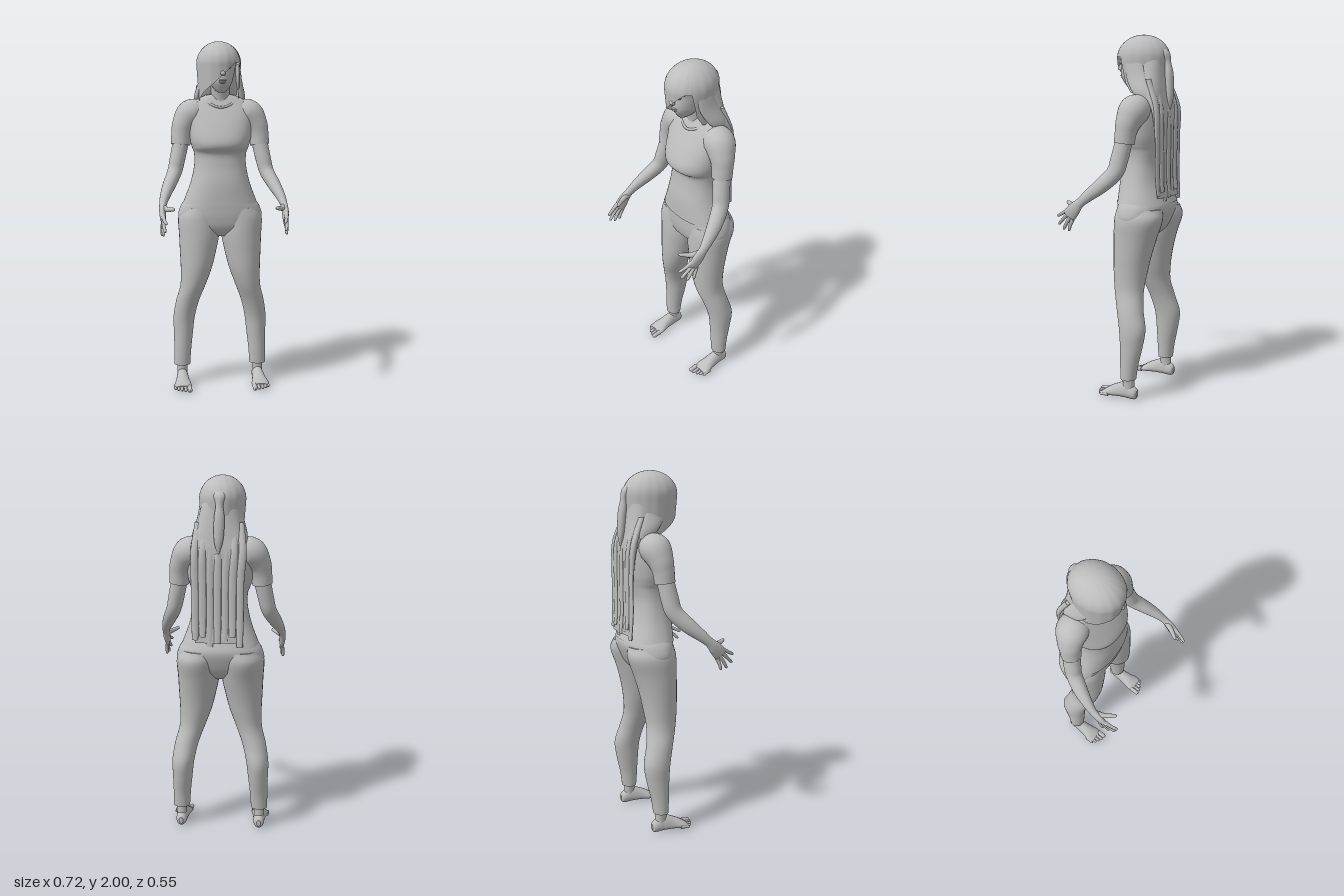
import * as THREE from 'three';

const clay = new THREE.MeshStandardMaterial({ color: 0xbdbdbd, side: THREE.DoubleSide });
clay.name = 'clay grey';
const V = (x, y, z) => new THREE.Vector3(x, y, z);

function addMesh(group, name, geometry) {
  const mesh = new THREE.Mesh(geometry, clay);
  mesh.name = name;
  group.add(mesh);
  return mesh;
}

// Smooth skin over sections [x, y, z, rSide, rFront, rBack]; flat keeps every ring horizontal
function loft(sections, { flat = false, ref = V(1, 0, 0), n = 32, steps = 6, power = 1 } = {}) {
  const path = new THREE.CatmullRomCurve3(sections.map(s => V(s[0], s[1], s[2])), false, 'catmullrom');
  const size = new THREE.CatmullRomCurve3(
    sections.map(s => V(s[3], s[4] ?? s[3], s[5] ?? s[4] ?? s[3])), false, 'catmullrom');
  const pos = [], idx = [], rows = (sections.length - 1) * steps;
  const bend = v => Math.sign(v) * Math.abs(v) ** power;
  for (let i = 0; i <= rows; i++) {
    const c = path.getPoint(i / rows), r = size.getPoint(i / rows);
    const t = flat ? V(0, 1, 0) : path.getTangent(i / rows);
    const side = ref.clone().addScaledVector(t, -ref.dot(t)).normalize();
    const front = side.clone().cross(t);
    for (let j = 0; j < n; j++) {
      const a = j / n * Math.PI * 2, s = Math.sin(a);
      const p = c.clone().addScaledVector(side, bend(Math.cos(a)) * r.x)
        .addScaledVector(front, bend(s) * (s > 0 ? r.y : r.z));
      pos.push(p.x, p.y, p.z);
    }
  }
  for (let i = 0; i < rows; i++) for (let j = 0; j < n; j++) {
    const a = i * n + j, b = i * n + (j + 1) % n;
    idx.push(a, a + n, b, b, a + n, b + n);
  }
  // end caps on their own vertices, so the rims stay crisp
  for (const [row, end] of [[0, false], [rows, true]]) {
    const base = pos.length / 3, c = path.getPoint(end ? 1 : 0);
    for (let j = 0; j < n * 3; j++) pos.push(pos[row * n * 3 + j]);
    pos.push(c.x, c.y, c.z);
    for (let j = 0; j < n; j++) {
      const a = base + j, b = base + (j + 1) % n;
      idx.push(...(end ? [base + n, b, a] : [base + n, a, b]));
    }
  }
  const g = new THREE.BufferGeometry();
  g.setAttribute('position', new THREE.Float32BufferAttribute(pos, 3));
  g.setIndex(idx);
  g.computeVertexNormals();
  return g;
}

const blob = (x, y, z, rx, ry, rz) =>
  new THREE.SphereGeometry(1, 20, 14).scale(rx, ry, rz).translate(x, y, z);
const mirror = (sections, s) => sections.map(([x, ...rest]) => [x * s, ...rest]);

// Swept cap of hair whose lower edge rises over one side of the face
function hairCap() {
  const edge = [[-180, 1.66], [-90, 1.62], [-20, 1.66], [8, 1.69], [22, 1.74], [34, 1.88], [50, 1.88],
    [90, 1.8], [115, 1.755], [140, 1.72], [180, 1.66]];
  const edgeY = d => {
    const k = Math.max(1, edge.findIndex(e => e[0] >= d));
    const [d0, y0] = edge[k - 1], [d1, y1] = edge[k];
    return y0 + (y1 - y0) * (d - d0) / (d1 - d0);
  };
  const n = 96, rows = 28, pos = [], idx = [];
  for (let i = 0; i <= rows; i++) for (let j = 0; j < n; j++) {
    const d = -180 + 360 * j / n, a = d * Math.PI / 180, v = i / rows;
    const low = edgeY(d), y = 2 - (2 - low) * v * v;
    const up = Math.max(0, (y - 1.875) / 0.125), down = Math.max(0, (1.875 - y) / 0.2);
    const r = Math.sqrt(Math.max(0, 1 - up * up)) * (1 - 0.12 * down) * (1 + 0.006 * Math.sin(a * 16));
    pos.push(-0.01 + 0.126 * r * Math.cos(a), y, -0.083 + 0.152 * r * Math.sin(a));
    if (i < rows) {
      const p = i * n + j, q = i * n + (j + 1) % n;
      idx.push(p, q, p + n, q, q + n, p + n);
    }
  }
  const g = new THREE.BufferGeometry();
  g.setAttribute('position', new THREE.Float32BufferAttribute(pos, 3));
  g.setIndex(idx);
  g.computeVertexNormals();
  return g;
}

export function createModel() {
  const model = new THREE.Group();
  model.name = 'standingWoman';

  // Shirt with a fitted bust
  addMesh(model, 'shirt', loft([
    [0, 1.085, -0.11, 0.215, 0.132, 0.152], [0, 1.2, -0.11, 0.172, 0.13, 0.11],
    [0, 1.3, -0.11, 0.15, 0.116, 0.095], [0, 1.37, -0.11, 0.15, 0.116, 0.105],
    [0, 1.405, -0.11, 0.162, 0.152, 0.112], [0, 1.45, -0.11, 0.175, 0.155, 0.122],
    [0, 1.53, -0.11, 0.185, 0.122, 0.13], [0, 1.6, -0.11, 0.19, 0.085, 0.125],
    [0, 1.65, -0.115, 0.172, 0.062, 0.1], [0, 1.685, -0.12, 0.12, 0.052, 0.07],
    [0, 1.705, -0.12, 0.06, 0.045, 0.05]], { flat: true, n: 48, power: 0.88 }));
  const collar = new THREE.CatmullRomCurve3([V(0, 1.632, -0.04), V(0.068, 1.655, -0.065), V(0.09, 1.69, -0.115),
    V(0, 1.698, -0.18), V(-0.09, 1.69, -0.115), V(-0.068, 1.655, -0.065)], true);
  addMesh(model, 'collar', new THREE.TubeGeometry(collar, 48, 0.007, 8, true));

  // Trousers: seat here, one leg per side below
  addMesh(model, 'trouserSeat', loft([
    [0, 0.895, -0.105, 0.06, 0.06, 0.06], [0, 0.94, -0.105, 0.2, 0.1, 0.11],
    [0, 1, -0.11, 0.242, 0.12, 0.135], [0, 1.06, -0.11, 0.232, 0.124, 0.152],
    [0, 1.11, -0.11, 0.2, 0.125, 0.14]], { flat: true, n: 48, power: 0.9 }));

  for (const s of [1, -1]) {
    const side = new THREE.Group();
    side.name = s > 0 ? 'leftLimbs' : 'rightLimbs';
    model.add(side);
    const limb = (name, sections, options) => addMesh(side, name, loft(mirror(sections, s), options));

    limb('trouserLeg', [
      [0.225, 0.115, -0.122, 0.047, 0.042, 0.043], [0.222, 0.2, -0.125, 0.05, 0.05, 0.053],
      [0.217, 0.3, -0.133, 0.056, 0.062, 0.068], [0.212, 0.4, -0.135, 0.063, 0.073, 0.08],
      [0.193, 0.5, -0.115, 0.067, 0.077, 0.076], [0.162, 0.6, -0.092, 0.073, 0.084, 0.083],
      [0.142, 0.7, -0.09, 0.09, 0.097, 0.094], [0.131, 0.8, -0.095, 0.105, 0.106, 0.108],
      [0.123, 0.9, -0.1, 0.117, 0.112, 0.132], [0.122, 1, -0.11, 0.122, 0.118, 0.156],
      [0.108, 1.06, -0.11, 0.112, 0.11, 0.145]], { flat: true });
    limb('ankle', [[0.225, 0.03, -0.125, 0.03, 0.035, 0.035], [0.225, 0.08, -0.124, 0.029, 0.034, 0.032],
      [0.225, 0.16, -0.122, 0.034, 0.034, 0.034]], { flat: true });

    // Foot runs from heel to ball, then five toes
    limb('foot', [[0.225, 0.035, -0.178, 0.012, 0.018, 0.018], [0.225, 0.035, -0.162, 0.028, 0.033, 0.035],
      [0.225, 0.035, -0.11, 0.033, 0.031, 0.06], [0.226, 0.03, -0.05, 0.04, 0.026, 0.044],
      [0.227, 0.022, 0, 0.05, 0.02, 0.026], [0.227, 0.017, 0.03, 0.045, 0.014, 0.012]]);
    for (let k = 0; k < 5; k++) {
      const x = [0.19, 0.214, 0.235, 0.254, 0.271][k], z = [0.078, 0.074, 0.065, 0.053, 0.038][k];
      const r = k ? 0.0095 : 0.0145;
      limb('toe', [[x, 0.018, z - 0.055, r], [x, 0.016, z - 0.025, r * 0.9], [x, 0.013, z - 0.009, r * 0.95],
        [x, 0.012, z, r * 0.25]], { n: 12, steps: 4 });
    }

    // Sleeve, then the bare arm down to the palm
    const ref = V(0, 0, 1);
    limb('sleeve', [[0.1, 1.6, -0.13, 0.07], [0.165, 1.593, -0.125, 0.086, 0.084], [0.207, 1.535, -0.112, 0.07, 0.068],
      [0.222, 1.48, -0.104, 0.059, 0.058], [0.228, 1.42, -0.098, 0.056, 0.055]], { ref });
    limb('arm', [[0.222, 1.46, -0.1, 0.046], [0.247, 1.34, -0.08, 0.049, 0.044], [0.266, 1.265, -0.06, 0.047, 0.041],
      [0.3, 1.195, 0.005, 0.043, 0.036], [0.325, 1.14, 0.07, 0.033, 0.027], [0.337, 1.1, 0.115, 0.027, 0.02],
      [0.34, 1.065, 0.15, 0.037, 0.018], [0.338, 1.03, 0.18, 0.038, 0.015], [0.336, 1.018, 0.19, 0.03, 0.009]], { ref });
    const fingers = [[1.055, 0.195, 1.012, 0.272, 0.324], [1.037, 0.19, 0.97, 0.262, 0.33],
      [1.018, 0.178, 0.946, 0.228, 0.337], [1.005, 0.162, 0.942, 0.19, 0.344]];
    for (const [y0, z0, y1, z1, x1] of fingers)
      limb('finger', [[0.339, y0, z0, 0.0115], [(0.342 + x1) / 2, (y0 + y1) / 2, (z0 + z1) / 2, 0.0095],
        [x1, y1 + 0.006, z1 - 0.007, 0.008], [x1, y1, z1, 0.002]], { ref, n: 12, steps: 4 });
    limb('thumb', [[0.335, 1.088, 0.135, 0.018], [0.315, 1.083, 0.18, 0.014], [0.292, 1.088, 0.215, 0.011],
      [0.281, 1.09, 0.23, 0.009], [0.276, 1.09, 0.235, 0.002]], { ref, n: 12, steps: 4 });

    // Eye and brow
    addMesh(side, 'eye', blob(s * 0.032, 1.852, 0.036, 0.015, 0.008, 0.012));
    limb('brow', [[0.012, 1.872, 0.046, 0.005], [0.035, 1.877, 0.042, 0.006], [0.06, 1.869, 0.02, 0.004]],
      { ref: V(0, 1, 0), n: 10 });
  }

  // Neck, head and face
  addMesh(model, 'neck', loft([[0, 1.62, -0.125, 0.07, 0.06, 0.06], [0, 1.69, -0.11, 0.054, 0.052, 0.055],
    [0, 1.79, -0.085, 0.052, 0.055, 0.055]], { flat: true }));
  addMesh(model, 'head', loft([[0, 1.714, -0.02, 0.016, 0.024, 0.03], [0, 1.728, -0.035, 0.034, 0.053, 0.05],
    [0, 1.765, -0.06, 0.06, 0.102, 0.07], [0, 1.8, -0.075, 0.072, 0.122, 0.09], [0, 1.85, -0.08, 0.083, 0.122, 0.105],
    [0, 1.9, -0.08, 0.09, 0.13, 0.11], [0, 1.95, -0.08, 0.068, 0.09, 0.09]], { flat: true }));
  addMesh(model, 'nose', loft([[0, 1.806, 0.05, 0.011, 0.009, 0.012], [0, 1.817, 0.056, 0.016, 0.016, 0.015],
    [0, 1.838, 0.049, 0.009, 0.013, 0.012], [0, 1.87, 0.04, 0.007, 0.01, 0.01]], { flat: true, n: 16 }));
  addMesh(model, 'upperLip', blob(0, 1.781, 0.043, 0.021, 0.005, 0.01));
  addMesh(model, 'lowerLip', blob(0, 1.77, 0.04, 0.018, 0.006, 0.01));

  // Hair: cap, long back fall with strands, side locks and tied tail
  const hair = new THREE.Group();
  hair.name = 'hair';
  model.add(hair);
  addMesh(hair, 'hairCap', hairCap());
  addMesh(hair, 'hairFall', loft([[-0.005, 1.86, -0.13, 0.1, 0.06, 0.09], [0, 1.76, -0.155, 0.118, 0.06, 0.075],
    [0.005, 1.68, -0.185, 0.138, 0.05, 0.055], [0.005, 1.6, -0.225, 0.145, 0.025, 0.025],
    [0.005, 1.45, -0.238, 0.138, 0.012, 0.012], [0.005, 1.25, -0.238, 0.13, 0.011, 0.011],
    [0.005, 1.12, -0.248, 0.122, 0.01, 0.01]].reverse(), { flat: true, n: 48, power: 0.8 }));
  for (let k = 0; k < 7; k++) {
    const x = (k - 3) * 0.04, z = -0.244 - 0.004 * (k % 2), end = 1.1 + 0.018 * ((k * 3) % 4);
    addMesh(hair, 'backStrand', loft([[x + 0.005, end, z - 0.008, 0.017, 0.008], [x + 0.005, 1.25, z, 0.021, 0.01],
      [x + 0.005, 1.45, z, 0.022, 0.01], [x * 1.05, 1.61, z + 0.01, 0.022, 0.016],
      [x * 0.9, 1.76, -0.21 + Math.abs(x) * 0.25, 0.022, 0.015]], { flat: true, n: 14 }));
  }
  for (const s of [1, -1])
    addMesh(hair, 'sideLock', loft(mirror([[0.135, 1.65, -0.17, 0.012, 0.035], [0.128, 1.7, -0.14, 0.018, 0.055],
      [0.108, 1.78, -0.1, 0.016, 0.06], [0.098, 1.87, -0.08, 0.012, 0.05]], s), { flat: true, n: 20 }));
  addMesh(hair, 'tiedTail', loft([[0, 1.6, -0.255, 0.004], [-0.002, 1.67, -0.253, 0.024, 0.018],
    [-0.005, 1.78, -0.246, 0.028, 0.022], [-0.005, 1.85, -0.234, 0.02, 0.02],
    [-0.005, 1.9, -0.218, 0.032, 0.026], [-0.005, 1.935, -0.195, 0.015]], { flat: true, n: 20 }));
  return model;
}
